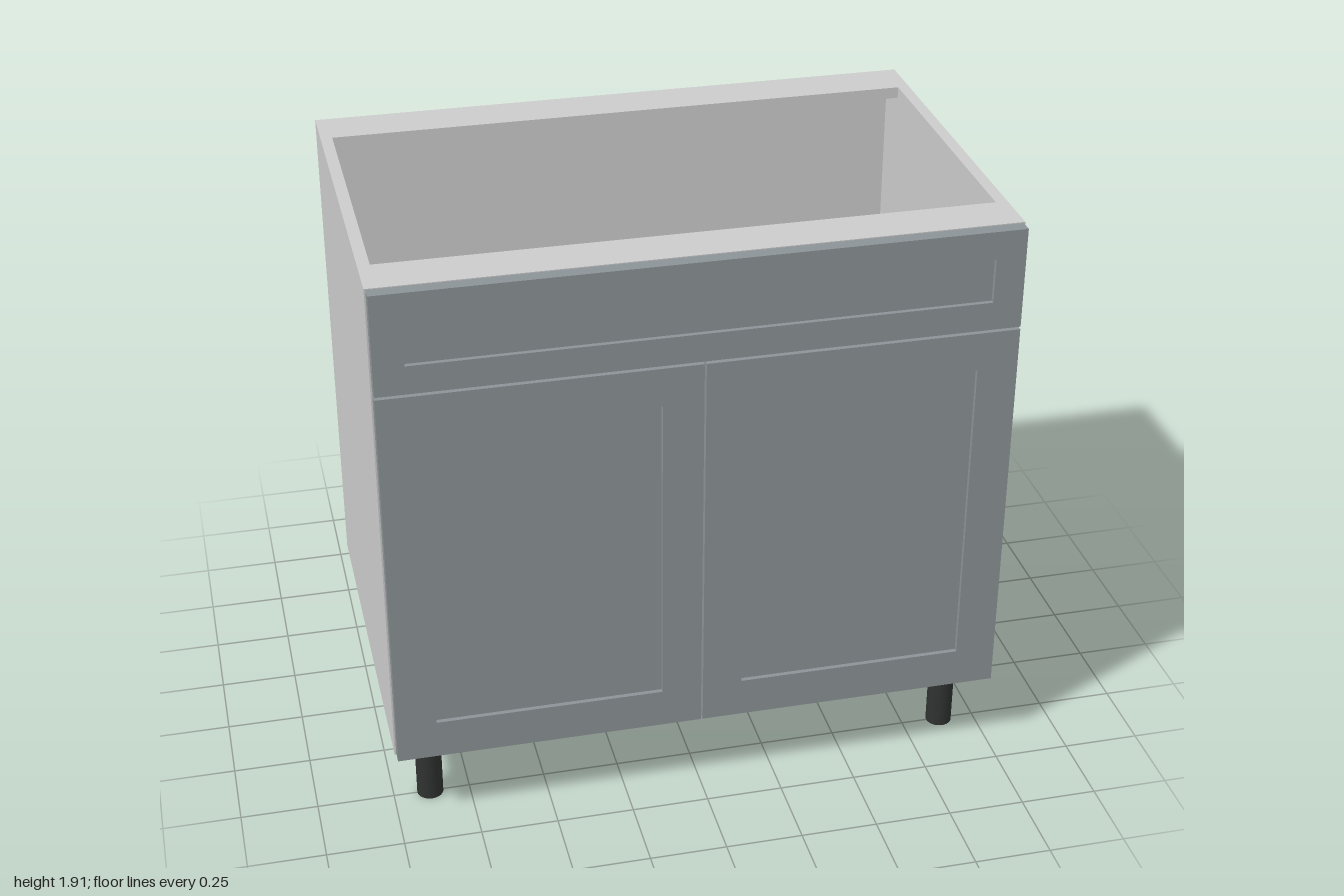
import * as THREE from 'three';

const carcassMat = new THREE.MeshStandardMaterial({ color: 0xcccccc });
const frontMat = new THREE.MeshStandardMaterial({ color: 0x8c9396 });
const legMat = new THREE.MeshStandardMaterial({ color: 0x303232 });

// Box given by its minimum and maximum corners
function box(name, [x0, y0, z0], [x1, y1, z1], material) {
  const mesh = new THREE.Mesh(new THREE.BoxGeometry(x1 - x0, y1 - y0, z1 - z0), material);
  mesh.name = name;
  mesh.position.set((x0 + x1) / 2, (y0 + y1) / 2, (z0 + z1) / 2);
  return mesh;
}

function rectangle(PathType, x0, y0, x1, y1) {
  return new PathType([[x0, y0], [x1, y0], [x1, y1], [x0, y1]].map(([x, y]) => new THREE.Vector2(x, y)));
}

// Framed front with a recessed centre panel; outer and inner are [x0, y0, x1, y1]
function framedFront(name, outer, inner, z0, z1, recess) {
  const group = new THREE.Group();
  group.name = name;
  const shape = rectangle(THREE.Shape, ...outer);
  shape.holes.push(rectangle(THREE.Path, ...inner));
  const geometry = new THREE.ExtrudeGeometry(shape, { depth: z1 - z0, bevelEnabled: false });
  const frame = new THREE.Mesh(geometry, frontMat);
  frame.name = name + 'Frame';
  frame.position.z = z0;
  const [x0, y0, x1, y1] = inner;
  group.add(frame, box(name + 'Panel', [x0, y0, z0], [x1, y1, z1 - recess], frontMat));
  return group;
}

export function createModel() {
  const model = new THREE.Group();
  model.name = 'baseCabinet';

  const bottom = 0.255, top = 1.915, back = -0.66, front = 0.617, face = 0.66;
  const t = 0.038, inside = 1 - t, rail = 0.16;

  // Carcass: sides, floor, back and two top rails, open at the top
  const carcass = new THREE.Group();
  carcass.name = 'carcass';
  carcass.add(
    box('rightSide', [-1, bottom, back], [-inside, top, front], carcassMat),
    box('leftSide', [inside, bottom, back], [1, top, front], carcassMat),
    box('floorPanel', [-inside, bottom, back + t], [inside, bottom + t, front], carcassMat),
    box('backPanel', [-inside, bottom, back], [inside, top - t, back + t], carcassMat),
    box('backRail', [-inside, top - t, back], [inside, top, back + rail], carcassMat),
    box('frontRail', [-inside, top - t, front - rail + 0.005], [inside, top, front], carcassMat)
  );
  model.add(carcass);

  // Drawer front and the pair of doors
  const recess = 0.015;
  model.add(
    framedFront('drawerFront', [-0.995, 1.582, 0.995, 1.912], [-0.9, 1.675, 0.9, 1.82], front, face, recess),
    framedFront('rightDoor', [-0.995, 0.26, -0.003, 1.573], [-0.865, 0.39, -0.132, 1.445], front, face, recess),
    framedFront('leftDoor', [0.003, 0.26, 0.995, 1.573], [0.132, 0.39, 0.865, 1.445], front, face, recess)
  );

  // Four round legs
  const legGeometry = new THREE.CylinderGeometry(0.043, 0.043, bottom, 32);
  for (const x of [-0.88, 0.88]) {
    for (const z of [-0.522, 0.5]) {
      const leg = new THREE.Mesh(legGeometry, legMat);
      leg.name = (z > 0 ? 'front' : 'back') + (x > 0 ? 'Left' : 'Right') + 'Leg';
      leg.position.set(x, bottom / 2, z);
      model.add(leg);
    }
  }
  return model;
}
